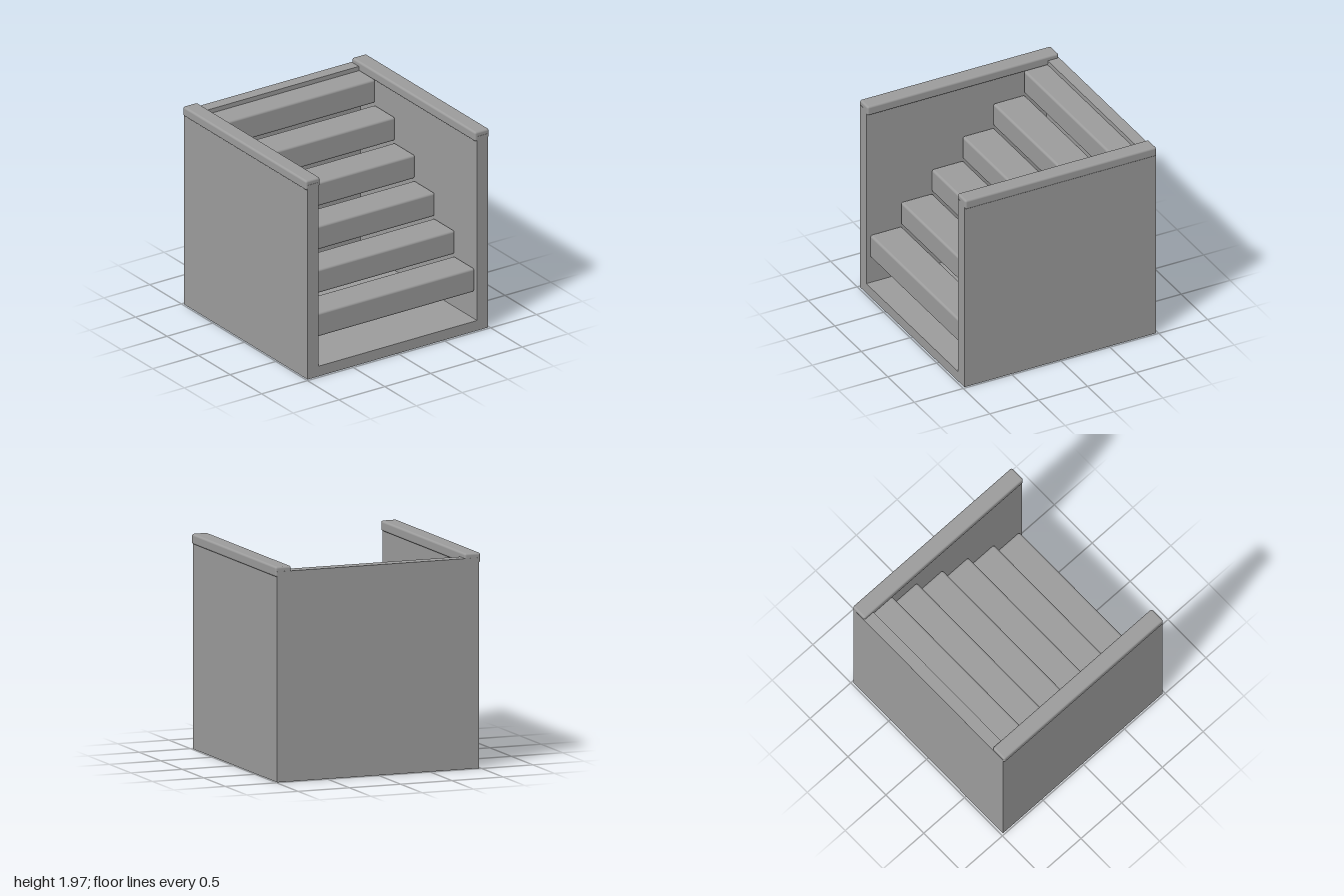
import * as THREE from 'three';
import { RoundedBoxGeometry } from 'three/addons/geometries/RoundedBoxGeometry.js';

export function createModel() {
  const model = new THREE.Group();
  model.name = 'staircase';
  const stone = new THREE.MeshStandardMaterial({ color: 0x9c9c9c });
  stone.name = 'grey stone';

  const add = (name, geometry, x, y, z) => {
    const mesh = new THREE.Mesh(geometry, stone);
    mesh.name = name;
    mesh.position.set(x, y, z);
    model.add(mesh);
    return mesh;
  };

  const outer = 0.985, inner = 0.865, height = 1.92, floor = 0.1, half = 0.98;

  // Side walls and floor as one U-shaped extrusion
  const section = new THREE.Shape([
    [-outer, 0], [outer, 0], [outer, height], [inner, height],
    [inner, floor], [-inner, floor], [-inner, height], [-outer, height],
  ].map(([x, y]) => new THREE.Vector2(x, y)));
  add('wallsAndFloor',
    new THREE.ExtrudeGeometry(section, { depth: 2 * half, bevelEnabled: false }), 0, 0, -half);

  // Back wall closing the shell
  add('backWall', new THREE.BoxGeometry(2 * inner, height - floor, 0.115),
    0, (height + floor) / 2, -half + 0.0575);

  // Rounded caps along the side walls
  for (const [side, name] of [[1, 'leftCap'], [-1, 'rightCap']]) {
    add(name, new RoundedBoxGeometry(0.155, 0.095, 1.955, 3, 0.02), side * 0.9225, 1.9175, 0);
  }

  // Six floating treads climbing towards the back
  const treadHeight = 0.235, treadDepth = 0.325;
  for (let i = 0; i < 6; i++) {
    add(`tread${i + 1}`, new RoundedBoxGeometry(2 * inner, treadHeight, treadDepth, 3, 0.022),
      0, 0.37 + treadHeight / 2 + i * 0.2545, 0.945 - treadDepth / 2 - i * 0.3145);
  }

  return model;
}
